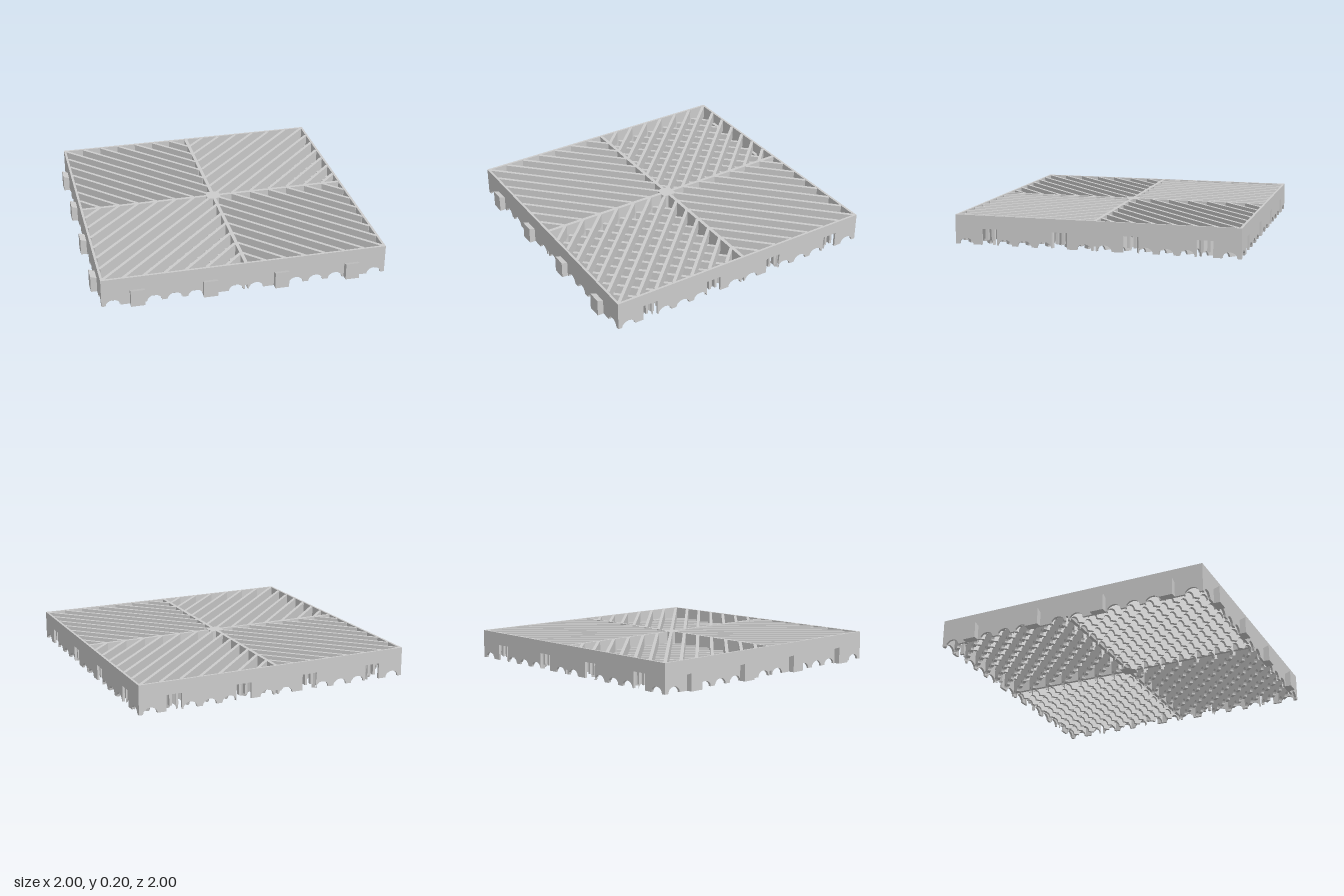
import * as THREE from 'three';

const H = 0.2;          // tile height
const HALF = 0.978;     // half the tile width
const WALL = 0.016;     // rim thickness
const BAR = 0.022;      // lattice bar thickness
const L = HALF - WALL / 2;
const CELL = L / 7;     // lattice pitch along an edge
const mat = new THREE.MeshStandardMaterial({ color: 0xcccccc });

function add(parent, geo, name, x = 0, y = 0, z = 0, ry = 0) {
  const m = new THREE.Mesh(geo, mat);
  m.name = name;
  m.position.set(x, y, z);
  m.rotation.y = ry;
  parent.add(m);
  return m;
}

// Upright strip whose bottom edge is cut by arches and square notches
function strip(x0, x1, top, cuts, depth) {
  const s = new THREE.Shape();
  s.moveTo(x0, 0);
  for (const c of [...cuts].sort((a, b) => a.x - b.x)) {
    s.lineTo(c.x - c.w, 0);
    if (c.square) {
      s.lineTo(c.x - c.w, c.h);
      s.lineTo(c.x + c.w, c.h);
      s.lineTo(c.x + c.w, 0);
    } else {
      for (let i = 1; i <= 8; i++) {
        const a = Math.PI * (1 - i / 8);
        s.lineTo(c.x + c.w * Math.cos(a), c.h * Math.sin(a));
      }
    }
  }
  s.lineTo(x1, 0);
  s.lineTo(x1, top);
  s.lineTo(x0, top);
  s.closePath();
  const g = new THREE.ExtrudeGeometry(s, { depth, bevelEnabled: false });
  return g.translate(0, 0, -depth / 2);
}

const clipX = [-0.74, -0.25, 0.24, 0.735];

// One rim side, facing local +z, with either tabs or sockets
function makeSide(hasTabs, name) {
  const side = new THREE.Group();
  side.name = name;
  const cuts = [{ x: 0, w: 0.009, h: 0.03, square: true }];
  for (let k = 0; k < 14; k++) {
    if ([1, 5, 8, 12].includes(k)) continue;
    cuts.push({ x: (k - 6.5) * CELL, w: 0.05, h: 0.042 });
  }
  if (!hasTabs) {
    for (const x of clipX) cuts.push({ x: -x, w: 0.054, h: 0.11, square: true });
  }
  add(side, strip(-HALF, HALF, H, cuts, WALL), 'rim', 0, 0, HALF - WALL / 2);

  if (hasTabs) {
    // Tab with a lip that rises outward
    const p = new THREE.Shape([[0, 0], [0.043, 0], [0.043, 0.118], [0, 0.103]]
      .map(([a, b]) => new THREE.Vector2(a, b)));
    const g = new THREE.ExtrudeGeometry(p, { depth: 0.096, bevelEnabled: false });
    g.translate(0, 0, -0.048).rotateY(-Math.PI / 2);
    for (const x of clipX) add(side, g, 'tab', x, 0, HALF - 0.001);
  } else {
    // Catch prongs and a cross piece inside each socket
    for (const cx of clipX) {
      for (const d of [-0.022, 0.022]) {
        add(side, new THREE.BoxGeometry(0.018, 0.085, 0.03), 'socketProng', -cx + d, 0.0725, HALF - 0.025);
      }
      add(side, new THREE.BoxGeometry(0.108, 0.012, 0.03), 'socketTop', -cx, 0.116, HALF - 0.025);
    }
  }
  return side;
}

// One quarter of the lattice, spanning local +x and +z
function makeQuarter() {
  const quarter = new THREE.Group();
  quarter.name = 'latticeQuarter';
  const step = CELL / Math.SQRT2;
  // Upper bars run outward from the centre
  for (let k = -6; k <= 6; k++) {
    const span = L - Math.abs(k) * CELL;
    const x = span / 2 + Math.max(k, 0) * CELL;
    const z = span / 2 + Math.max(-k, 0) * CELL;
    add(quarter, new THREE.BoxGeometry(span * Math.SQRT2 - 0.02, 0.095, BAR),
      'upperBar', x, H - 0.0485, z, -Math.PI / 4);
  }
  // Lower bars cross them and have scalloped undersides
  for (let k = 1; k <= 13; k++) {
    const n = 2 * Math.min(k, 14 - k);
    const half = n * step / 2;
    const cuts = [];
    for (let i = 0; i < n; i++) cuts.push({ x: -half + (i + 0.5) * step, w: 0.027, h: 0.034 });
    add(quarter, strip(-half + 0.019, half - 0.019, 0.12, cuts, BAR),
      'lowerBar', k * CELL / 2, 0, k * CELL / 2, Math.PI / 4);
  }
  return quarter;
}

export function createModel() {
  const model = new THREE.Group();
  model.name = 'floorTile';
  const tile = new THREE.Group();
  tile.name = 'tile';
  tile.position.set(0.022, 0, -0.022);
  model.add(tile);

  // Rim: tabs on the front and right, sockets on the other two sides
  const sides = [['frontSide', 0, true], ['leftSide', 1, false], ['backSide', 2, false], ['rightSide', 3, true]];
  for (const [name, q, tabs] of sides) {
    const side = makeSide(tabs, name);
    side.rotation.y = q * Math.PI / 2;
    tile.add(side);
    const quarter = makeQuarter();
    quarter.rotation.y = q * Math.PI / 2;
    tile.add(quarter);
  }

  // Cross ribs and centre block
  add(tile, new THREE.BoxGeometry(2 * L, 0.169, 0.024), 'crossRib', 0, 0.1145, 0);
  add(tile, new THREE.BoxGeometry(0.024, 0.169, 2 * L), 'crossRib', 0, 0.1145, 0);
  add(tile, new THREE.BoxGeometry(0.1, 0.17, 0.1), 'centreBlock', 0, 0.115, 0);
  return model;
}
